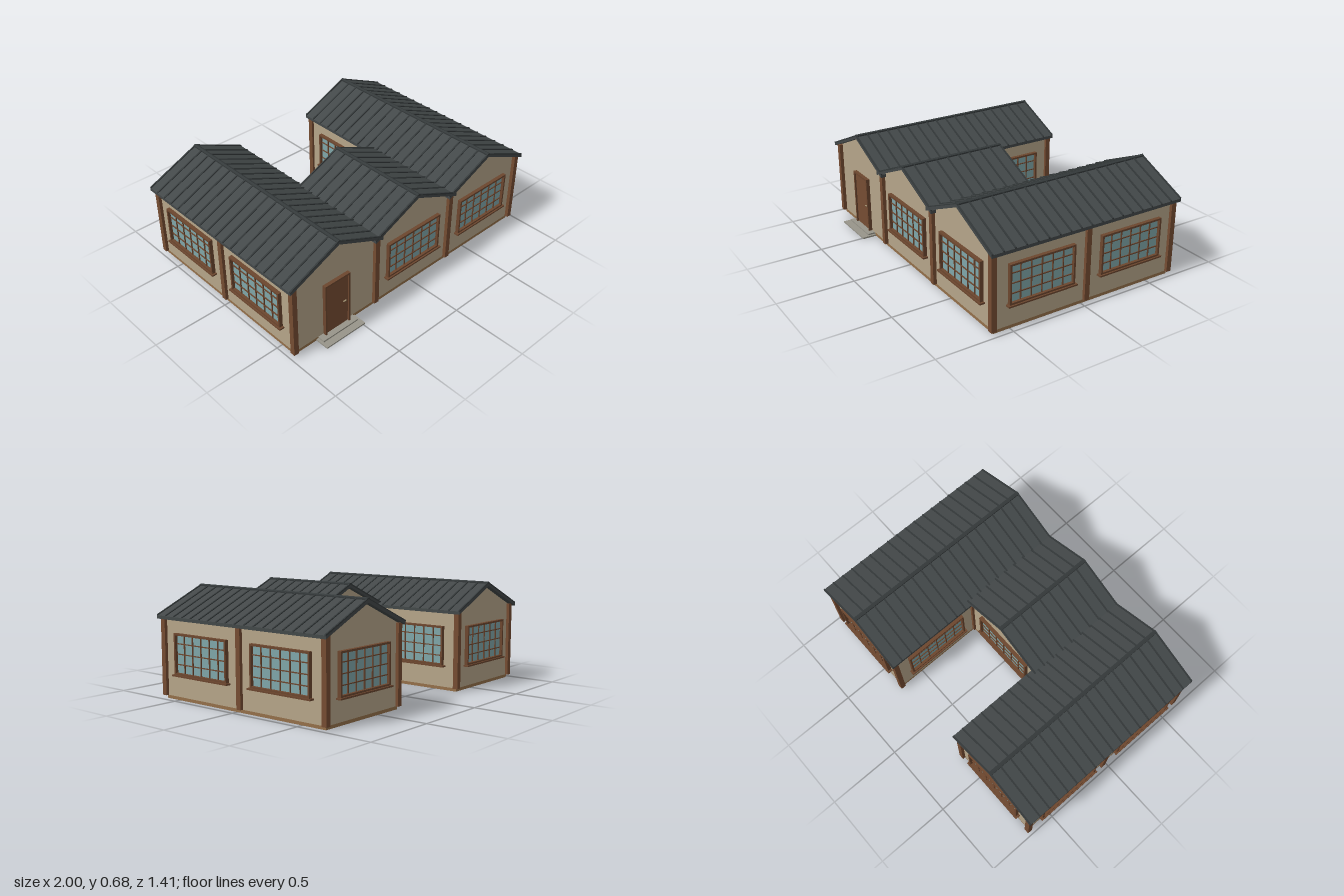
import * as THREE from 'three';

const mat = (name, color) => {
  const m = new THREE.MeshStandardMaterial({ color });
  m.name = name;
  return m;
};

export function createModel() {
  const wallMat = mat('plaster', 0xb5a589);
  const roofMat = mat('roof metal', 0x434849);
  const seamMat = mat('roof seam', 0x34393a);
  const woodMat = mat('timber', 0x754c32);
  const frameMat = mat('window timber', 0x6c462e);
  const baseMat = mat('floor timber', 0x94704a);
  const glassMat = mat('glass', 0x7fa6a9);
  const stepMat = mat('step stone', 0x98958a);
  const handleMat = mat('handle metal', 0xaa9a78);

  const model = new THREE.Group();
  model.name = 'building';

  // Square bays of side M; front, middle and back grid lines
  const M = 0.64, H = M / 2, ZF = 0.61, ZM = ZF - M, ZB = ZM - M;
  const EAVE = 0.511, RIDGE = 0.675, SLOPE = 0.444;

  function box(parent, name, material, w, h, d, x, y, z) {
    const mesh = new THREE.Mesh(new THREE.BoxGeometry(w, h, d), material);
    mesh.name = name;
    mesh.position.set(x, y, z);
    parent.add(mesh);
    return mesh;
  }

  // Extrude an outline in x, y from z0 to z1
  function prism(parent, name, material, points, z0, z1) {
    const shape = new THREE.Shape(points.map(([x, y]) => new THREE.Vector2(x, y)));
    const geo = new THREE.ExtrudeGeometry(shape, { depth: z1 - z0, bevelEnabled: false });
    const mesh = new THREE.Mesh(geo, material);
    mesh.name = name;
    mesh.position.z = z0;
    parent.add(mesh);
  }

  // Bent sheet following both slopes of a gable roof
  const chevron = (left, right, bottom, top) => [
    [-left, RIDGE - SLOPE * left + bottom], [0, RIDGE + bottom], [right, RIDGE - SLOPE * right + bottom],
    [right, RIDGE - SLOPE * right + top], [0, RIDGE + top], [-left, RIDGE - SLOPE * left + top],
  ];

  // One gabled wing: floor, walls, roof sheet, seams and ridge cap
  function wing(name, x, zBack, left, right) {
    const g = new THREE.Group();
    g.name = name;
    g.position.x = x;
    model.add(g);
    const len = ZF - zBack;
    box(g, 'floorBase', baseMat, M, 0.02, len, 0, 0.01, (ZF + zBack) / 2);
    prism(g, 'gabledWalls', wallMat,
      [[-H, 0.02], [H, 0.02], [H, EAVE], [0, RIDGE - 0.021], [-H, EAVE]], zBack, ZF);
    const z0 = zBack - 0.035, z1 = ZF + 0.035;
    prism(g, 'roofSheet', roofMat, chevron(left, right, -0.02, 0), z0, z1);
    const n = Math.round((z1 - z0) / 0.077);
    for (let i = 0; i <= n; i++) {
      const z = z0 + 0.005 + (z1 - z0 - 0.01) * i / n;
      prism(g, 'roofSeam', seamMat, chevron(left, right, -0.004, 0.006), z - 0.005, z + 0.005);
    }
    prism(g, 'ridgeCap', seamMat, chevron(0.012, 0.012, -0.004, 0.009), z0, z1);
  }
  wing('rightWing', -M, ZB, 0.36, 0.35);
  wing('centreWing', 0, ZM, 0.35, 0.35);
  wing('leftWing', M, ZB, 0.35, 0.36);

  // Timber posts on the grid lines
  const posts = new THREE.Group();
  posts.name = 'posts';
  model.add(posts);
  for (const x of [-1.5 * M, -H, H, 1.5 * M])
    for (const z of [ZF, ZM, ZB])
      box(posts, 'post', woodMat, 0.034, EAVE - 0.02, 0.034,
        x + (Math.abs(x) > H ? Math.sign(x) * 0.003 : 0), (EAVE + 0.02) / 2,
        z + (z === ZF ? 0.006 : z === ZB ? -0.003 : 0));

  // Window of six by four panes, facing the given angle about y
  function windowUnit(x, z, angle) {
    const g = new THREE.Group();
    g.name = 'window';
    g.position.set(x, 0, z);
    g.rotation.y = angle;
    model.add(g);
    const W = 0.448, y0 = 0.16, y1 = 0.414, t = 0.012, yc = (y0 + y1) / 2;
    box(g, 'glass', glassMat, W - t, y1 - y0 - t, 0.006, 0, yc, 0.002);
    for (const s of [-1, 1]) {
      box(g, 'frameSide', frameMat, t, y1 - y0, 0.024, s * (W - t) / 2, yc, 0.012);
      box(g, 'frameRail', frameMat, W - 2 * t, t, 0.024, 0, yc + s * (y1 - y0 - t) / 2, 0.012);
    }
    for (let i = 1; i < 6; i++)
      box(g, 'mullion', frameMat, 0.006, y1 - y0 - 2 * t, 0.01, (i / 6 - 0.5) * (W - t), yc, 0.007);
    for (let i = 1; i < 4; i++)
      box(g, 'glazingBar', frameMat, W - 2 * t, 0.006, 0.008, 0, y0 + (y1 - y0) * i / 4, 0.007);
    box(g, 'sill', frameMat, 0.474, 0.01, 0.034, 0, 0.156, 0.017);
  }
  windowUnit(0, ZF, 0);
  windowUnit(M, ZF, 0);
  windowUnit(0, ZM, Math.PI);
  for (const s of [-1, 1]) {
    windowUnit(s * M, ZB, Math.PI);
    windowUnit(s * 1.5 * M, ZF - H, s * Math.PI / 2);
    windowUnit(s * 1.5 * M, ZM - H, s * Math.PI / 2);
    windowUnit(s * H, ZM - H, -s * Math.PI / 2);
  }

  // Entrance door with frame, handle and two low steps
  const door = new THREE.Group();
  door.name = 'entrance';
  door.position.set(-M, 0, ZF);
  model.add(door);
  box(door, 'doorLeaf', woodMat, 0.176, 0.358, 0.014, 0, 0.201, 0.006);
  for (const s of [-1, 1])
    box(door, 'doorJamb', frameMat, 0.011, 0.37, 0.024, s * 0.092, 0.205, 0.012);
  box(door, 'doorHead', frameMat, 0.195, 0.012, 0.024, 0, 0.386, 0.012);
  box(door, 'doorHandle', handleMat, 0.02, 0.006, 0.008, 0.06, 0.19, 0.016);
  box(door, 'upperStep', stepMat, 0.276, 0.01, 0.05, 0, 0.015, 0.025);
  box(door, 'lowerStep', stepMat, 0.306, 0.01, 0.095, 0, 0.005, 0.0475);

  return model;
}
